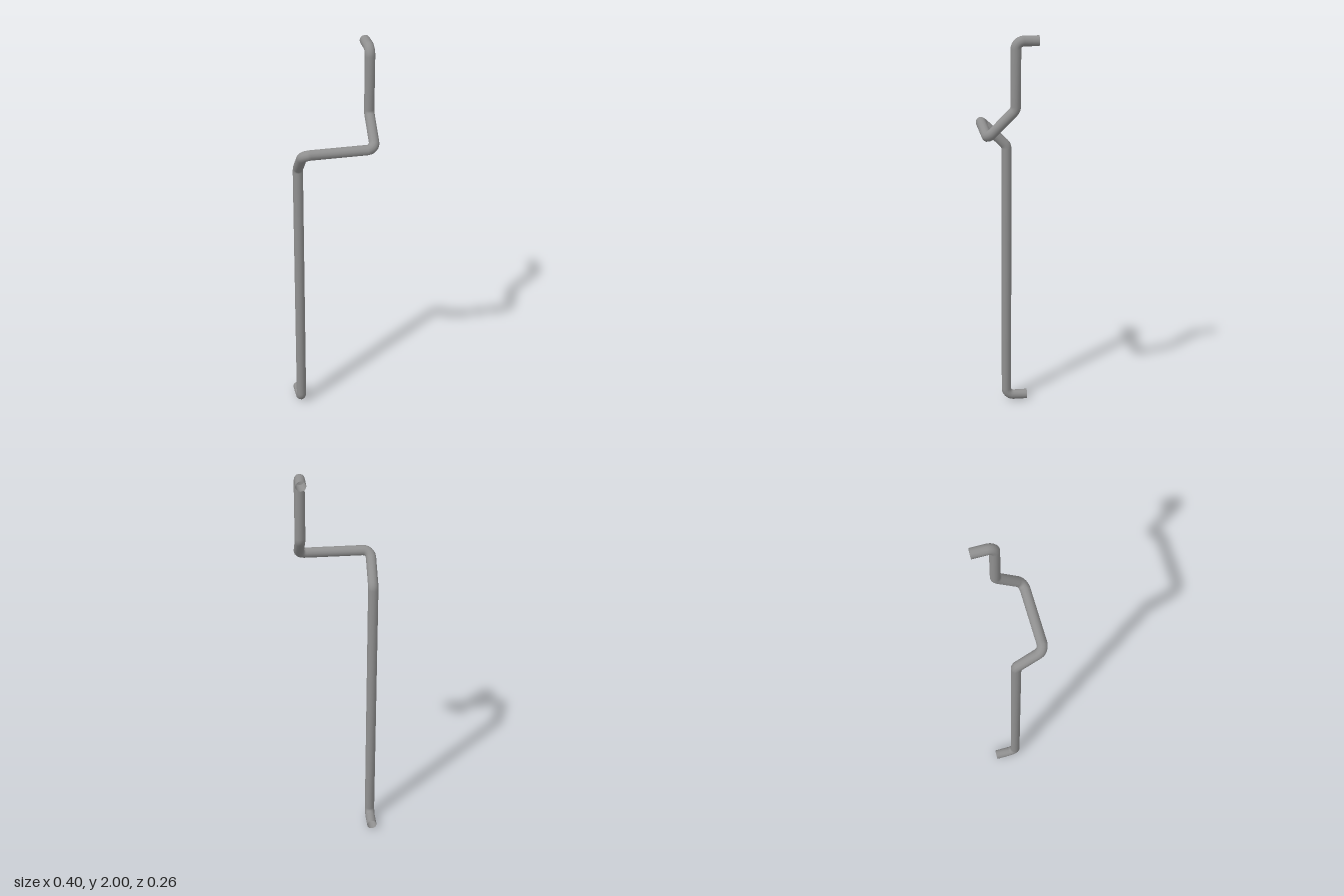
import * as THREE from 'three';

const RADIUS = 0.025, SIDES = 12, BEND = 0.037, STEP = Math.PI / 12;
const v = (x, y, z) => new THREE.Vector3(x, y, z);

// Replace a corner by points on a round bend, one for every 15 degrees.
function roundCorner(a, corner, b) {
  const dIn = corner.clone().sub(a).normalize();
  const dOut = b.clone().sub(corner).normalize();
  const angle = dIn.angleTo(dOut);
  const side = dOut.addScaledVector(dIn, -Math.cos(angle)).normalize();
  const start = corner.clone().addScaledVector(dIn, -BEND * Math.tan(angle / 2));
  const steps = Math.round(angle / STEP);
  return Array.from({ length: steps + 1 }, (_, i) => {
    const t = (i / steps) * angle;
    return start.clone()
      .addScaledVector(dIn, BEND * Math.sin(t))
      .addScaledVector(side, BEND * (1 - Math.cos(t)));
  });
}

// Sweep a circle along the points, mitring the cross-section at each joint.
function sweepPipe(points) {
  const dirs = points.slice(1).map((p, i) => p.clone().sub(points[i]).normalize());
  const last = points.length - 1;
  let ring = Array.from({ length: SIDES }, (_, j) => {
    const a = (j / SIDES) * Math.PI * 2;
    return points[0].clone().add(v(Math.cos(a) * RADIUS, Math.sin(a) * RADIUS, 0));
  });
  const positions = [], index = [];
  points.forEach((p, i) => {
    if (i > 0) {
      const d = dirs[i - 1];
      const n = i < last ? d.clone().add(dirs[i]).normalize() : d;
      ring = ring.map(q => q.clone().addScaledVector(d, p.clone().sub(q).dot(n) / d.dot(n)));
    }
    ring.forEach(q => positions.push(q.x, q.y, q.z));
    if (i === last) return;
    for (let j = 0; j < SIDES; j++) {
      const a = i * SIDES + j, b = i * SIDES + (j + 1) % SIDES;
      index.push(a, b, b + SIDES, a, b + SIDES, a + SIDES);
    }
  });
  const geometry = new THREE.BufferGeometry();
  geometry.setAttribute('position', new THREE.Float32BufferAttribute(positions, 3));
  geometry.setIndex(index);
  geometry.computeVertexNormals();
  return geometry;
}

export function createModel() {
  const group = new THREE.Group();
  group.name = 'crankedPullHandle';

  const X = 0.173, BACK = -0.133, POST = -0.025, FRONT = 0.106, MID = 1.523;
  const reach = FRONT - POST;
  // Centre line: lower foot, long post, forward crank, short post, upper foot.
  const path = [
    v(-X, RADIUS, BACK),
    v(-X, RADIUS, POST),
    v(-X, MID - reach, POST),
    v(-X, MID, FRONT),
    v(X, MID, FRONT),
    v(X, MID + reach, POST),
    v(X, 2 - RADIUS, POST),
    v(X, 2 - RADIUS, BACK),
  ];
  const centreLine = path.flatMap((p, i) =>
    i > 0 && i < path.length - 1 ? roundCorner(path[i - 1], p, path[i + 1]) : [p]);

  // Open-ended pipe
  const pipe = new THREE.Mesh(
    sweepPipe(centreLine),
    new THREE.MeshStandardMaterial({ color: 0x909090, side: THREE.DoubleSide }));
  pipe.name = 'bentPipe';
  group.add(pipe);
  return group;
}
